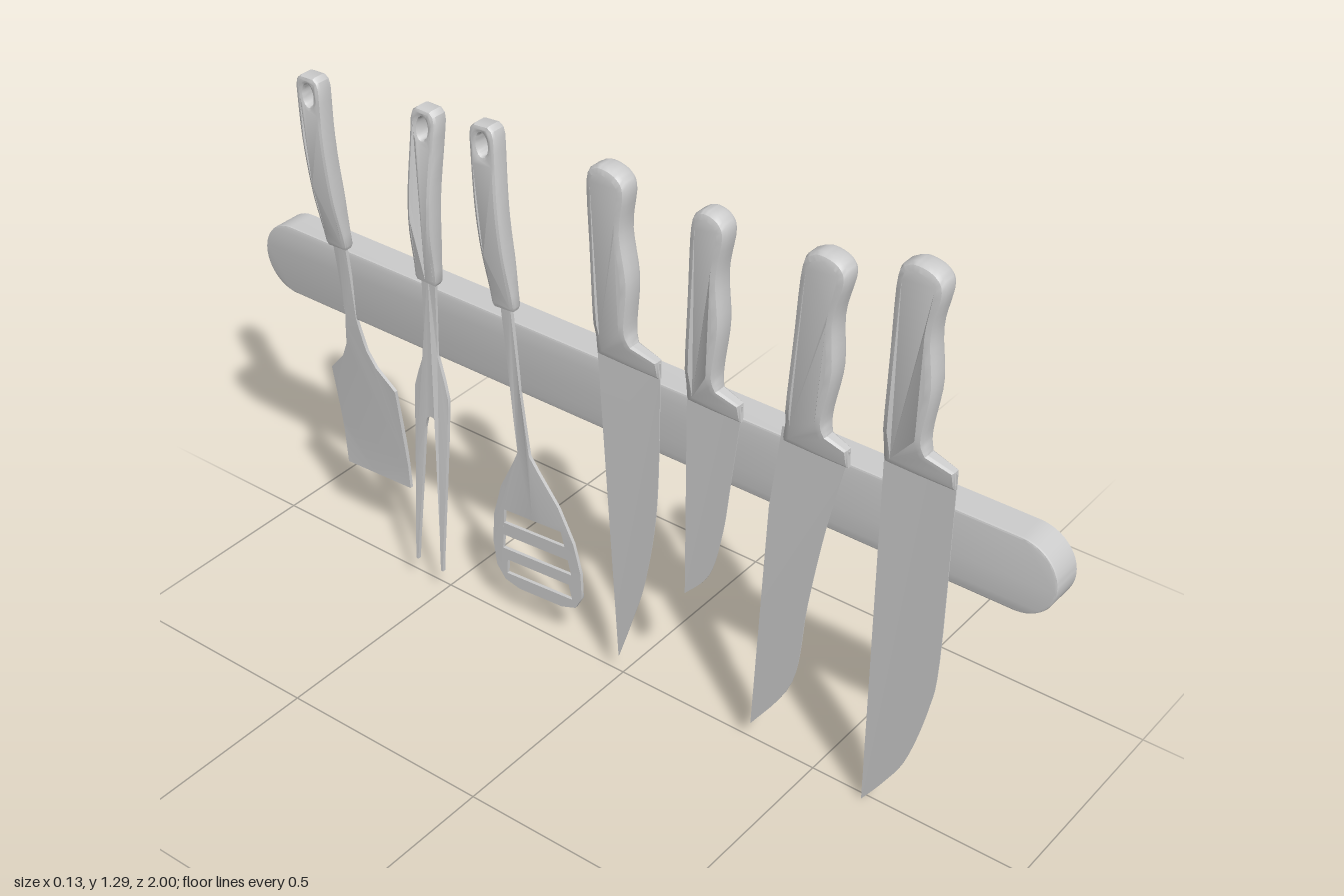
import * as THREE from 'three';
import { toCreasedNormals } from 'three/addons/utils/BufferGeometryUtils.js';

const material = new THREE.MeshStandardMaterial({ color: 0xcccccc, side: THREE.DoubleSide });
const V = ([a, b]) => new THREE.Vector2(a, b);
const { lerp, smoothstep } = THREE.MathUtils;

function add(parent, name, geometry, crease = 0.6) {
  const mesh = new THREE.Mesh(toCreasedNormals(geometry, crease), material);
  mesh.name = name;
  parent.add(mesh);
}

// Outlines are drawn as (-z, y) and extruded along x, centred on x = 0.
function slab(shape, thickness, bevel = 0) {
  const geo = new THREE.ExtrudeGeometry(shape, {
    depth: thickness - 2 * bevel, bevelEnabled: bevel > 0, bevelSize: bevel,
    bevelThickness: bevel, bevelOffset: -bevel, bevelSegments: 2, curveSegments: 16,
  });
  return geo.translate(0, 0, bevel - thickness / 2).rotateY(Math.PI / 2);
}

function moveVertices(geo, rule) {
  const pos = geo.attributes.position;
  for (let i = 0; i < pos.count; i++) pos.setX(i, rule(pos.getX(i), pos.getY(i), pos.getZ(i)));
  return geo;
}

function stadium(inset, Type = THREE.Shape) {
  const r = 0.084 - inset, c = 1 - 0.084, s = new Type();
  s.absarc(c, 0.712, r, -Math.PI / 2, Math.PI / 2, false);
  s.absarc(-c, 0.712, r, Math.PI / 2, Math.PI * 1.5, false);
  s.closePath();
  return s;
}

// Shallow open tray holding the tools
function rack() {
  const g = new THREE.Group();
  g.name = 'rack';
  add(g, 'rackPlate', slab(stadium(0), 0.009, 0.004).translate(-0.0035, 0, 0));
  const rim = stadium(0);
  rim.holes.push(stadium(0.004, THREE.Path));
  add(g, 'rackRim', slab(rim, 0.066).translate(0.029, 0, 0));
  return g;
}

// Shared grip profile: [distance from the spine side, height], both as fractions
const GRIP = [[0, 0.03], [0, 0.5], [0, 0.9], [0.2, 0.985], [0.5, 1], [0.85, 0.97], [1, 0.89],
  [0.87, 0.67], [1, 0.4], [0.89, 0.13], [0.97, 0.04]];

// spine and edge run between guard and tip; back is the grip's spine side, low to high
function knife(name, { guard, top, back, width, spine, edge }) {
  const g = new THREE.Group();
  g.name = name;
  g.position.x = -0.015;

  // Blade: full thickness along the spine, thin at the cutting edge
  const tip = spine[spine.length - 1], heel = edge[edge.length - 1];
  const cut = new THREE.SplineCurve([tip, ...edge].map(V)).getPoints(24);
  const blade = slab(new THREE.Shape([...spine.slice(0, -1).map(V), ...cut]), 0.012);
  const onEdge = (y, z) => cut.some((p) => Math.hypot(p.x + z, p.y - y) < 1e-4);
  add(g, 'blade', moveVertices(blade, (x, y, z) => x * (onEdge(y, z) ? 0.15 : 1)), 0.2);

  // Handle: curved grip that thins into the guard above the blade
  const foot = guard - 0.04;
  const grip = GRIP.map(([u, t]) => V([lerp(back[0], back[1], t) - u * width, lerp(guard, top, t)]));
  const outline = [V([spine[0][0], foot]), ...new THREE.SplineCurve(grip).getPoints(44),
    V([heel[0] + 0.003, guard]), V([heel[0], foot])];
  const handle = slab(new THREE.Shape(outline), 0.055, 0.014);
  add(g, 'handle', moveVertices(handle, (x, y) => x * lerp(0.25, 1, smoothstep(y, foot, guard + 0.06))));
  return g;
}

// Closed polygon split into short steps so that it can bend
function dense(points, step = 0.03) {
  return points.flatMap((a, i) => {
    const b = points[(i + 1) % points.length];
    const n = Math.max(1, Math.ceil(a.distanceTo(b) / step));
    return Array.from({ length: n }, (_, k) => a.clone().lerp(b, k / n));
  });
}

// Smooth x offset for a height, from a table of [y, x]
function bendAt(table, y) {
  const last = table.length - 1;
  if (y <= table[0][0]) return table[0][1];
  if (y >= table[last][0]) return table[last][1];
  const i = table.findIndex((p) => p[0] > y) - 1;
  const f = (y - table[i][0]) / (table[i + 1][0] - table[i][0]);
  return new THREE.SplineCurve(table.map(V)).getPoint((i + f) / last).y;
}

// Symmetric tool drawn upright as [half width, height], then tilted about its base
function utensil(name, { base, tilt, low, top, bend, half, slots = [] }) {
  const g = new THREE.Group();
  g.name = name;
  const place = ([u, v]) => V([base + u + tilt * v, v - tilt * u]);
  const mirrored = (side) => dense([...side, ...side.map(([u, v]) => [-u, v]).reverse()].map(place));
  const curved = (geo, taper) => moveVertices(geo, (x, y) => x * taper(y) + bendAt(bend, y));

  // Metal shaft and working end
  const metal = new THREE.Shape(mirrored(half));
  slots.forEach(([w, v]) => metal.holes.push(new THREE.Path(mirrored([[w, v - 0.019], [w - 0.006, v + 0.019]]))));
  add(g, 'shaftAndHead', curved(slab(metal, 0.008), () => 1));

  // Handle with a hanging hole
  const grip = new THREE.Shape(mirrored([[0.024, low], [0.03, low + 0.01], [0.033, top - 0.025],
    [0.029, top - 0.009], [0.018, top]]));
  const ring = new THREE.Path().absellipse(0, top - 0.042, 0.014, 0.025, 0, Math.PI * 2).getPoints(10);
  grip.holes.push(new THREE.Path(ring.slice(0, -1).map((p) => place([p.x, p.y]))));
  add(g, 'handle', curved(slab(grip, 0.042, 0.008), (y) => lerp(0.6, 1, smoothstep(y, low, low + 0.15))));
  return g;
}

export function createModel() {
  const model = new THREE.Group();
  model.name = 'knifeRack';
  model.add(
    rack(),
    knife('chefKnife', {
      guard: 0.885, top: 1.294, back: [-0.625, -0.635], width: 0.098,
      spine: [[-0.627, 0.88], [-0.63, 0]],
      edge: [[-0.68, 0.075], [-0.725, 0.16], [-0.765, 0.31], [-0.78, 0.45], [-0.78, 0.88]],
    }),
    knife('carvingKnife', {
      guard: 0.835, top: 1.243, back: [-0.408, -0.438], width: 0.097,
      spine: [[-0.4, 0.83], [-0.377, 0.63], [-0.35, 0.052]],
      edge: [[-0.448, 0.216], [-0.475, 0.43], [-0.507, 0.63], [-0.55, 0.83]],
    }),
    knife('paringKnife', {
      guard: 0.835, top: 1.238, back: [-0.174, -0.187], width: 0.079,
      spine: [[-0.174, 0.83], [-0.174, 0.313]],
      edge: [[-0.235, 0.39], [-0.265, 0.51], [-0.28, 0.63], [-0.303, 0.83]],
    }),
    knife('utilityKnife', {
      guard: 0.855, top: 1.252, back: [0.048, 0.064], width: 0.094,
      spine: [[0.05, 0.85], [0.035, 0.63], [0, 0.056]],
      edge: [[-0.035, 0.165], [-0.072, 0.3], [-0.1, 0.51], [-0.105, 0.85]],
    }),
    utensil('slottedSpatula', {
      base: 0.228, tilt: 0.075, low: 0.83, top: 1.247,
      bend: [[0.09, 0.008], [0.3, 0.004], [0.6, -0.01], [0.83, -0.015], [1.05, -0.03], [1.25, -0.022]],
      half: [[0.06, 0.09], [0.1, 0.102], [0.121, 0.135], [0.124, 0.2], [0.112, 0.275], [0.08, 0.36],
        [0.035, 0.435], [0.016, 0.47], [0.013, 0.63], [0.0135, 0.86]],
      slots: [[0.086, 0.278], [0.097, 0.207], [0.093, 0.14]],
    }),
    utensil('carvingFork', {
      base: 0.5275, tilt: -0.026, low: 0.812, top: 1.217,
      bend: [[0.07, -0.035], [0.35, -0.02], [0.6, -0.01], [0.82, -0.012], [1, -0.02], [1.22, 0.002]],
      half: [[0.006, 0.467], [0.013, 0.458], [0.018, 0.43], [0.034, 0.07], [0.04, 0.07], [0.047, 0.43],
        [0.048, 0.53], [0.036, 0.575], [0.0185, 0.63], [0.0185, 0.84]],
    }),
    utensil('turner', {
      base: 0.722, tilt: 0.0435, low: 0.81, top: 1.222,
      bend: [[0.19, 0.03], [0.3, 0.027], [0.45, 0.012], [0.6, -0.004], [0.8, -0.016], [0.95, -0.034],
        [1.08, -0.044], [1.22, -0.042]],
      half: [[0.0965, 0.195], [0.0965, 0.462], [0.05, 0.51], [0.03, 0.55], [0.016, 0.63], [0.018, 0.84]],
    }),
  );
  return model;
}
